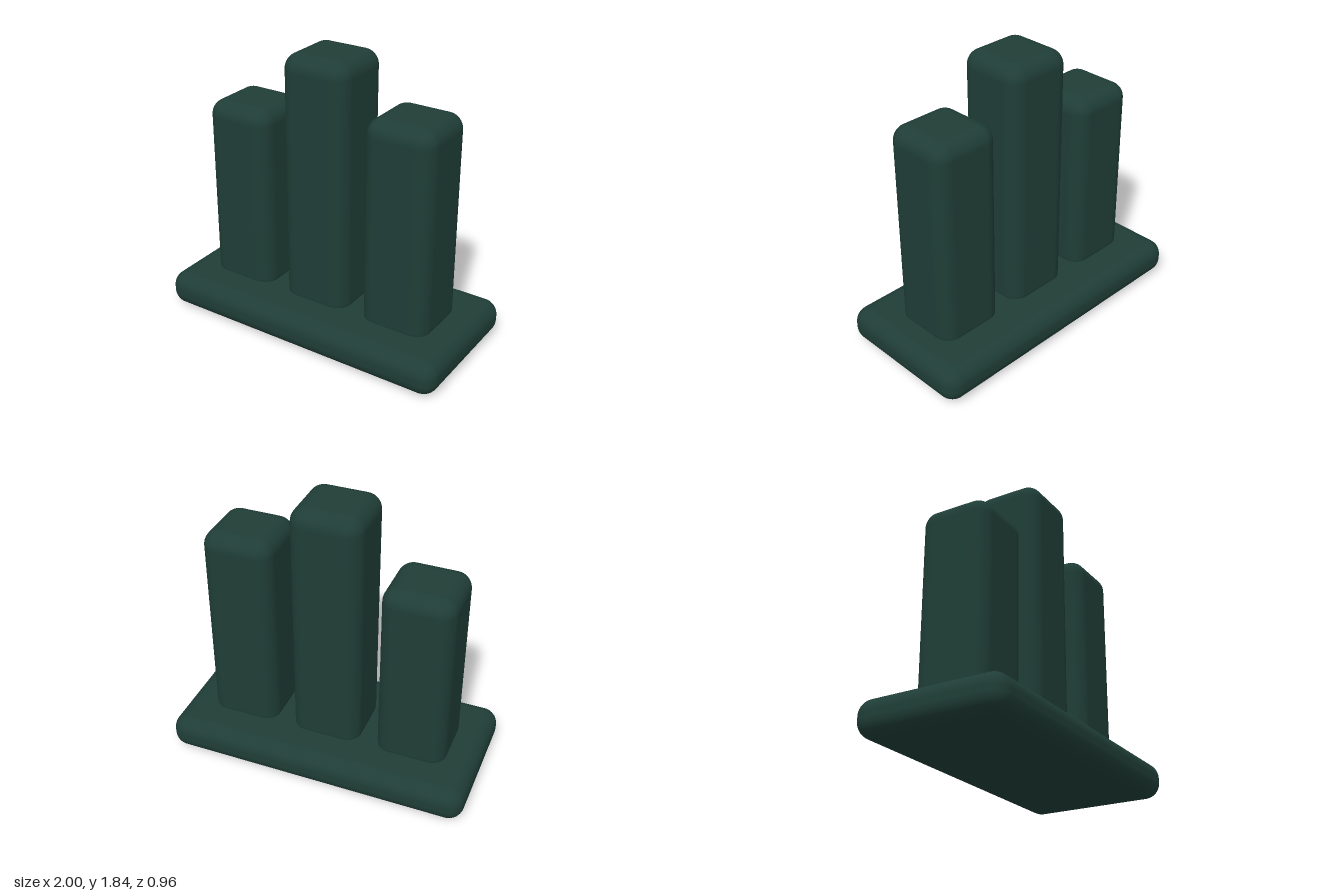
import * as THREE from 'three';
import { RoundedBoxGeometry } from 'three/addons/geometries/RoundedBoxGeometry.js';

export function createModel() {
  const model = new THREE.Group();
  model.name = 'threePillarStand';
  const material = new THREE.MeshStandardMaterial({ color: 0x1f3d36 });

  // Rounded block spanning bottom..top, centred on x
  function block(name, x, bottom, top, width, depth, radius) {
    const height = top - bottom;
    const mesh = new THREE.Mesh(new RoundedBoxGeometry(width, height, depth, 6, radius), material);
    mesh.name = name;
    mesh.position.set(x, bottom + height / 2, 0);
    model.add(mesh);
  }

  // Base slab
  block('base', 0, 0, 0.23, 2, 0.956, 0.1);

  // Pillars, their rounded feet sunk into the slab
  const pillars = [
    ['rightPillar', -0.574, 1.43],
    ['middlePillar', 0, 1.84],
    ['leftPillar', 0.574, 1.56],
  ];
  for (const [name, x, top] of pillars) block(name, x, 0.15, top, 0.457, 0.457, 0.1);

  return model;
}
